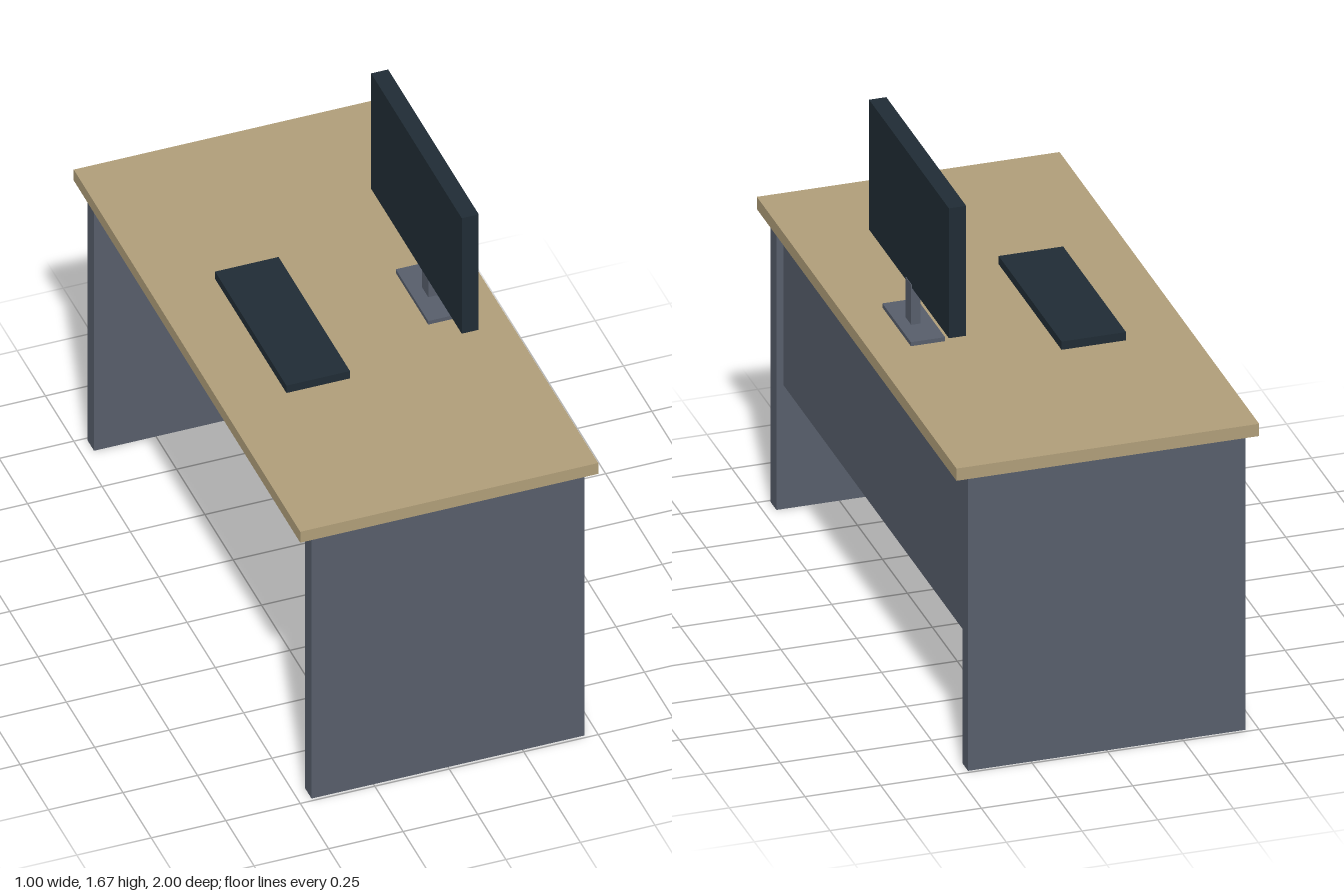
import * as THREE from 'three';

const wood = new THREE.MeshStandardMaterial({ name: 'pale wood', color: 0xb09e79 });
const grey = new THREE.MeshStandardMaterial({ name: 'slate grey', color: 0x575e6b });
const dark = new THREE.MeshStandardMaterial({ name: 'dark plastic', color: 0x202c35 });

// Box given by its extents along each axis
function block(name, material, [x0, x1], [y0, y1], [z0, z1]) {
  const mesh = new THREE.Mesh(new THREE.BoxGeometry(x1 - x0, y1 - y0, z1 - z0), material);
  mesh.position.set((x0 + x1) / 2, (y0 + y1) / 2, (z0 + z1) / 2);
  mesh.name = name;
  return mesh;
}

export function createModel() {
  const model = new THREE.Group();
  model.name = 'officeDesk';

  // Desk: top, two slab legs and a hanging modesty panel
  const desk = new THREE.Group();
  desk.name = 'desk';
  desk.add(block('deskTop', wood, [-0.5, 0.5], [1.03, 1.073], [-1, 1]));
  for (const [name, z] of [['frontLeg', 0.96], ['backLeg', -0.96]]) {
    desk.add(block(name, grey, [-0.458, 0.458], [0, 1.03], [z - 0.029, z + 0.029]));
  }
  desk.add(block('modestyPanel', grey, [0.4, 0.435], [0.435, 1.0], [-0.931, 0.931]));

  // Monitor on its stand
  const monitor = new THREE.Group();
  monitor.name = 'monitor';
  monitor.add(block('standBase', grey, [0.255, 0.368], [1.073, 1.087], [-0.143, 0.143]));
  monitor.add(block('standNeck', grey, [0.299, 0.329], [1.087, 1.228], [-0.028, 0.028]));
  monitor.add(block('screen', dark, [0.27, 0.327], [1.217, 1.673], [-0.4, 0.4]));

  const keyboard = block('keyboard', dark, [-0.286, -0.073], [1.073, 1.102], [-0.315, 0.315]);

  model.add(desk, monitor, keyboard);
  return model;
}
